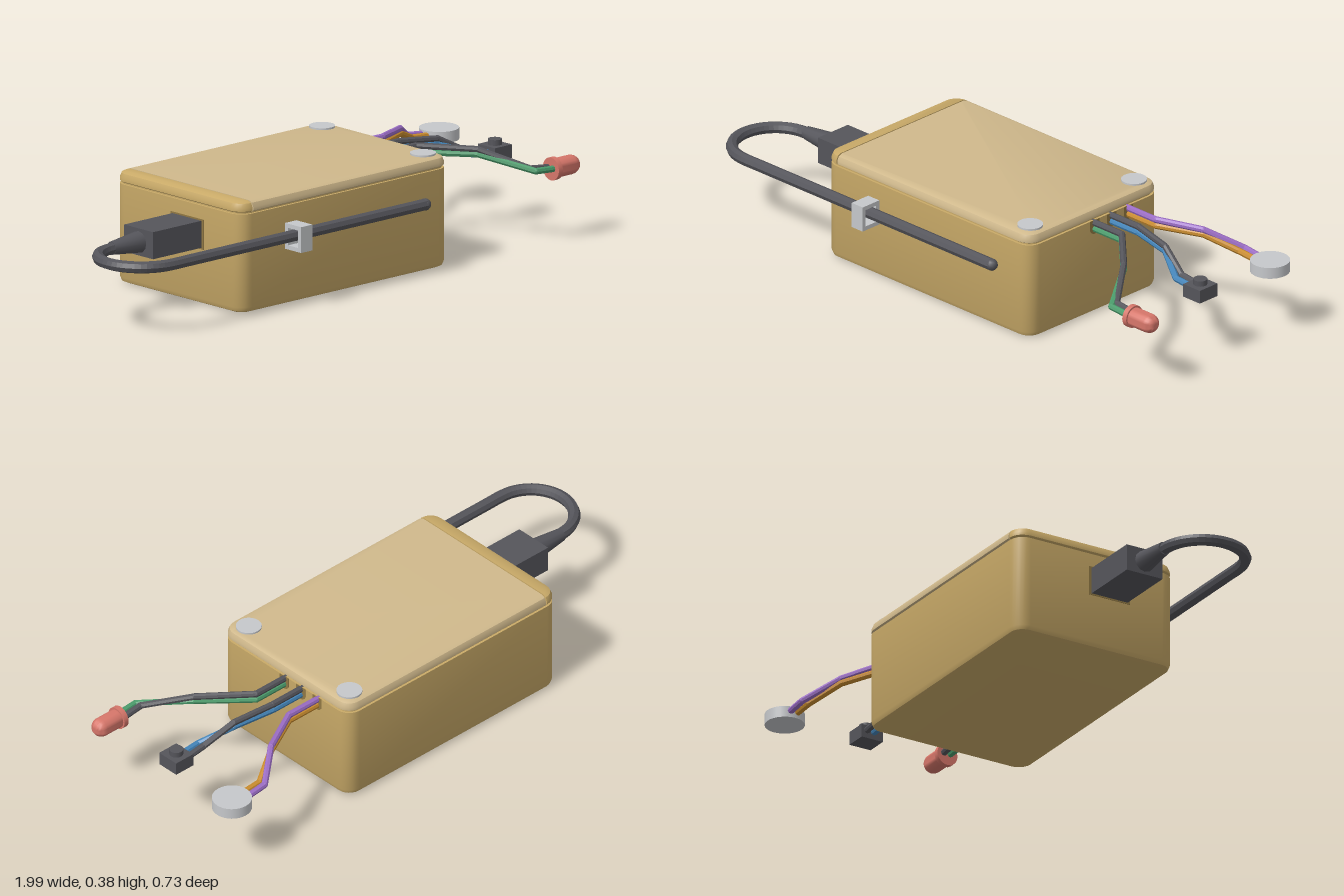
import * as THREE from 'three';
import { toCreasedNormals } from 'three/addons/utils/BufferGeometryUtils.js';

const V = (x, y, z) => new THREE.Vector3(x, y, z);
const material = (name, color) => {
  const m = new THREE.MeshStandardMaterial({ color });
  m.name = name;
  return m;
};

// Rounded-rectangle rings stacked in y; each ring is [inset, y]. Ends are capped.
function roundedLoft(x0, x1, z0, z1, radius, rings, steps = 6) {
  const pos = [], idx = [], n = 4 * (steps + 1);
  const corners = [[x1, z1, -1, -1], [x0, z1, 1, -1], [x0, z0, 1, 1], [x1, z0, -1, 1]];
  for (const [inset, y] of rings) {
    corners.forEach(([cx, cz, sx, sz], c) => {
      for (let i = 0; i <= steps; i++) {
        const a = (c + i / steps) * Math.PI / 2, r = radius - inset;
        pos.push(cx + sx * radius + r * Math.cos(a), y, cz + sz * radius + r * Math.sin(a));
      }
    });
  }
  for (let k = 0; k < rings.length - 1; k++) {
    for (let i = 0; i < n; i++) {
      const a = k * n + i, b = k * n + (i + 1) % n;
      idx.push(a, a + n, b, b, a + n, b + n);
    }
  }
  const top = (rings.length - 1) * n;
  for (let i = 1; i < n - 1; i++) {
    idx.push(0, i, i + 1, top, top + i + 1, top + i);
  }
  const g = new THREE.BufferGeometry();
  g.setAttribute('position', new THREE.Float32BufferAttribute(pos, 3));
  g.setIndex(idx);
  return g;
}

// Flattens everything outside the x range onto its limits
function clampX(g, min, max) {
  const p = g.attributes.position;
  for (let i = 0; i < p.count; i++) p.setX(i, Math.min(max, Math.max(min, p.getX(i))));
  return g;
}

function faceted(g) {
  const f = g.toNonIndexed();
  f.computeVertexNormals();
  return f;
}

export function createModel() {
  const model = new THREE.Group();
  model.name = 'electronicsBox';
  const tan = material('tan case', 0xc9aa68);
  const paleTan = material('pale tan lid', 0xd0b98c);
  const shade = material('dark tan opening', 0x8f7743);
  const charcoal = material('charcoal', 0x55555b);
  const silver = material('silver', 0xc6c8cb);
  const red = material('red lamp', 0xd6766a);
  const green = material('green wire', 0x4b9c6c);
  const blue = material('blue wire', 0x4384b8);
  const purple = material('purple wire', 0x9a6cc4);
  const orange = material('orange wire', 0xc98c2e);

  const add = (name, geometry, mat, x = 0, y = 0, z = 0, parent = model) => {
    const mesh = new THREE.Mesh(geometry, mat);
    mesh.name = name;
    mesh.position.set(x, y, z);
    parent.add(mesh);
    return mesh;
  };

  // Case with a recessed seam under the lid
  const outline = [-0.5, 0.425, -0.31, 0.29, 0.05];
  add('case', toCreasedNormals(roundedLoft(...outline,
    [[0.02, 0], [0.006, 0.006], [0, 0.02], [0, 0.33], [0.008, 0.33], [0.008, 0.338]]), 0.7), tan);

  // Lid and the fixed strip beside it, sharing one outline
  const lidRings = [[0.006, 0.335], [0, 0.339], [0, 0.35], [0.006, 0.364], [0.02, 0.37]];
  const lidPart = (min, max) => toCreasedNormals(clampX(roundedLoft(...outline, lidRings), min, max), 0.7);
  add('lid', lidPart(-0.445, 1), paleTan);
  add('lidEndStrip', lidPart(-1, -0.449), tan);

  // Lid screws
  for (const z of [-0.25, 0.225]) {
    add('screw', new THREE.CylinderGeometry(0.042, 0.042, 0.008, 28), silver, 0.365, 0.372, z);
  }

  // Socket opening, plug and strain relief
  const midZ = 0.038, cableY = 0.235;
  add('socketOpening', new THREE.BoxGeometry(0.004, 0.1, 0.155), shade, -0.5, cableY, midZ);
  add('plug', new THREE.BoxGeometry(0.215, 0.09, 0.136), charcoal, -0.6075, cableY, midZ);
  const relief = add('strainRelief', new THREE.CylinderGeometry(0.022, 0.036, 0.12, 12),
    charcoal, -0.775, cableY, midZ);
  relief.rotation.z = Math.PI / 2;

  // Cable: half loop, then straight along the front
  const loop = [V(-0.77, cableY, 0.04)];
  for (let i = 0; i <= 12; i++) {
    const a = i / 12 * Math.PI;
    loop.push(V(-0.835 - 0.14 * Math.sin(a), cableY, 0.18 - 0.14 * Math.cos(a)));
  }
  loop.push(V(-0.76, cableY, 0.32), V(-0.4, cableY, 0.32), V(0.285, cableY, 0.32));
  add('cable', faceted(new THREE.TubeGeometry(new THREE.CatmullRomCurve3(loop), 90, 0.02, 8)), charcoal);
  add('cableEnd', new THREE.SphereGeometry(0.02, 10, 8), charcoal, 0.285, cableY, 0.32);

  // Cable clip: hollow square frame
  const rect = (p, w, h) => {
    p.moveTo(-w, -h); p.lineTo(w, -h); p.lineTo(w, h); p.lineTo(-w, h); p.closePath();
    return p;
  };
  const frame = rect(new THREE.Shape(), 0.038, 0.043);
  frame.holes.push(rect(new THREE.Path(), 0.024, 0.029));
  const clip = add('cableClip', new THREE.ExtrudeGeometry(frame, { depth: 0.05, bevelEnabled: false }),
    silver, -0.305, 0.23, 0.328);
  clip.rotation.y = Math.PI / 2;

  // Wire: straight runs with rounded joints
  const wire = (name, mat, points) => {
    const group = new THREE.Group();
    group.name = name;
    model.add(group);
    points.forEach((p, i) => {
      add('joint', new THREE.SphereGeometry(0.011, 8, 6), mat, p.x, p.y, p.z, group);
      if (i === 0) return;
      const d = p.clone().sub(points[i - 1]), mid = p.clone().add(points[i - 1]).multiplyScalar(0.5);
      const run = add('run', faceted(new THREE.CylinderGeometry(0.011, 0.011, d.length(), 8, 1, true)),
        mat, mid.x, mid.y, mid.z, group);
      run.quaternion.setFromUnitVectors(V(0, 1, 0), d.normalize());
    });
  };

  // U-shaped exits, each with an upper and a lower wire
  const notch = new THREE.Shape();
  notch.moveTo(0.021, 0.33);
  notch.lineTo(0.021, 0.303);
  notch.absarc(0, 0.303, 0.021, 0, -Math.PI, true);
  notch.lineTo(-0.021, 0.33);
  notch.closePath();
  const bundles = [
    { z: -0.008, mid: 0.13, end: [0.268, 0.292], mats: [charcoal, green], names: ['darkLampWire', 'greenLampWire'] },
    { z: -0.086, mid: -0.06, end: [-0.03, -0.004], mats: [charcoal, blue], names: ['darkButtonWire', 'blueButtonWire'] },
    { z: -0.163, mid: -0.235, end: [-0.317, -0.293], mats: [purple, orange], names: ['purpleDiscWire', 'orangeDiscWire'] },
  ];
  for (const { z, mid, end, mats, names } of bundles) {
    const exit = add('wireExit', new THREE.ExtrudeGeometry(notch, { depth: 0.003, bevelEnabled: false }),
      shade, 0.4235, 0, z);
    exit.rotation.y = Math.PI / 2;
    mats.forEach((mat, i) => {
      const y = 0.321 - 0.021 * i;
      wire(names[i], mat, [V(0.41, y, z), V(0.55, y, z), V(0.695, y - 0.012 + 0.005 * i, mid),
        V(0.8, 0.252 - 0.004 * i, end[i]), V(0.885, 0.242, end[i])]);
    });
  }

  // Lamp: flange, barrel and dome
  const lampProfile = [[0, 0], [0.038, 0], [0.038, 0.018], [0.032, 0.018], [0.032, 0.085]]
    .map(([r, h]) => new THREE.Vector2(r, h));
  for (let i = 1; i <= 6; i++) {
    const a = i / 6 * Math.PI / 2;
    lampProfile.push(new THREE.Vector2(0.032 * Math.cos(a), 0.085 + 0.032 * Math.sin(a)));
  }
  const lamp = add('lamp', toCreasedNormals(new THREE.LatheGeometry(lampProfile, 20), 0.7), red, 0.876, 0.24, 0.282);
  lamp.rotation.z = -Math.PI / 2;

  // Push button
  add('buttonBase', new THREE.BoxGeometry(0.075, 0.045, 0.08), charcoal, 0.903, 0.24, -0.01);
  add('buttonCap', new THREE.CylinderGeometry(0.023, 0.023, 0.02, 16), charcoal, 0.903, 0.271, -0.01);

  // Round sounder disc
  add('sounderDisc', new THREE.CylinderGeometry(0.065, 0.065, 0.038, 32), silver, 0.93, 0.24, -0.302);

  return model;
}
